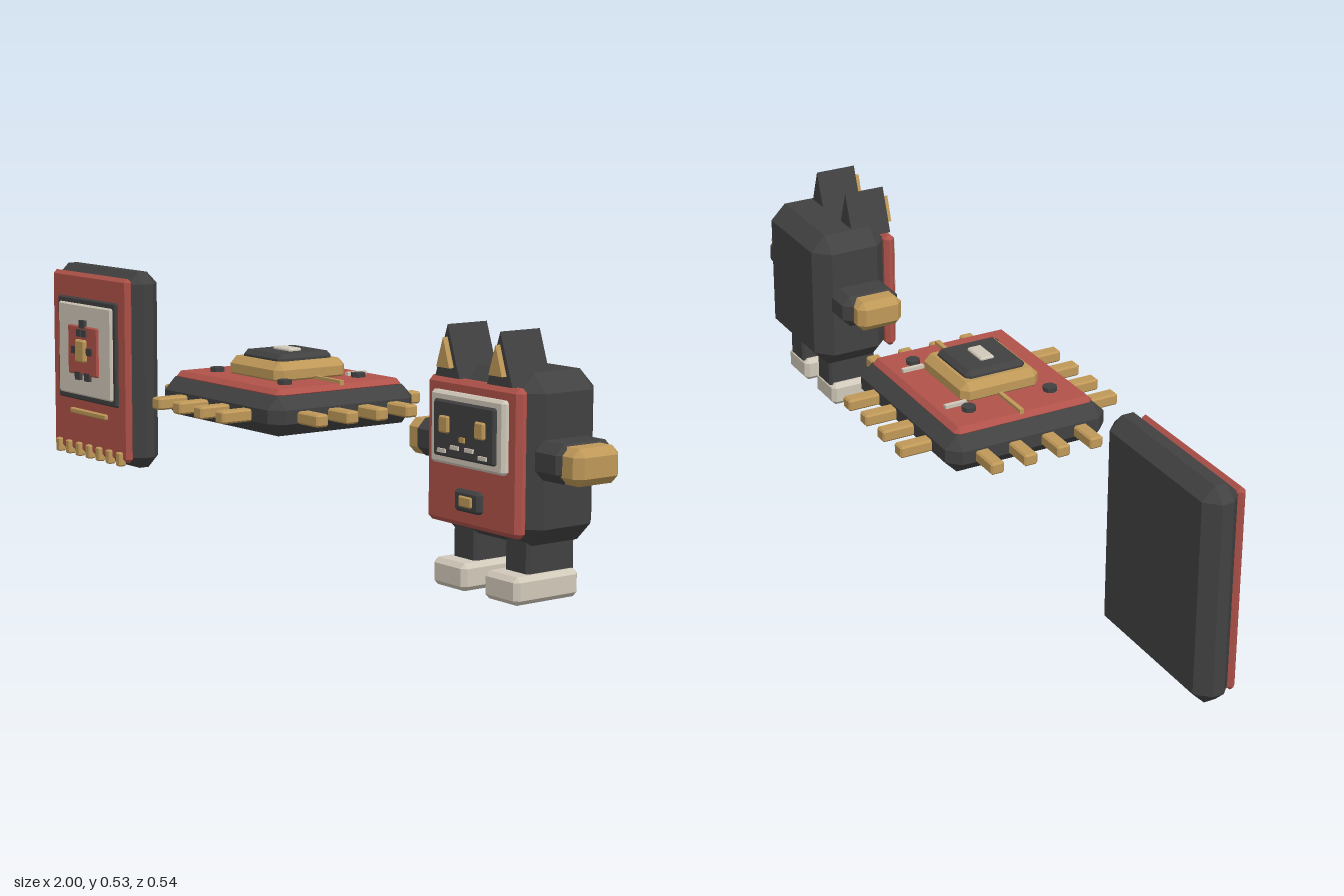
import * as THREE from 'three';
import { ConvexGeometry } from 'three/addons/geometries/ConvexGeometry.js';

const paint = (name, color) => {
  const m = new THREE.MeshStandardMaterial({ color });
  m.name = name;
  return m;
};

// box with every edge and corner cut at 45 degrees
function chamferBox(w, h, d, c) {
  const pts = [];
  for (const sx of [-1, 1]) for (const sy of [-1, 1]) for (const sz of [-1, 1]) {
    const x = w / 2, y = h / 2, z = d / 2;
    pts.push(
      new THREE.Vector3(sx * x, sy * (y - c), sz * (z - c)),
      new THREE.Vector3(sx * (x - c), sy * y, sz * (z - c)),
      new THREE.Vector3(sx * (x - c), sy * (y - c), sz * z));
  }
  return new ConvexGeometry(pts);
}

export function createModel() {
  const dark = paint('charcoal', 0x414141);
  const red = paint('brick red', 0xb0524a);
  const gold = paint('brass', 0xbf9858);
  const cream = paint('cream', 0xd0c8b9);

  const model = new THREE.Group();
  const group = (name, x, y, z) => {
    const g = new THREE.Group();
    g.name = name;
    g.position.set(x, y, z);
    model.add(g);
    return g;
  };
  const add = (parent, name, geo, mat) => {
    const m = new THREE.Mesh(geo, mat);
    m.name = name;
    parent.add(m);
    return m;
  };
  // part given by its min and max corners, with an optional chamfer
  const box = (parent, name, mat, [x0, x1], [y0, y1], [z0, z1], c = 0) => {
    const s = [x1 - x0, y1 - y0, z1 - z0];
    const m = add(parent, name, c ? chamferBox(...s, c) : new THREE.BoxGeometry(...s), mat);
    m.position.set((x0 + x1) / 2, (y0 + y1) / 2, (z0 + z1) / 2);
    return m;
  };
  const span = (centre, half) => [centre - half, centre + half];

  // ---- upright card ----
  const card = group('card', -0.808, 0.29, 0);
  box(card, 'cardBody', dark, span(0, 0.192), span(0, 0.24), [-0.045, 0.037], 0.028);
  box(card, 'cardFace', red, span(0, 0.177), span(0, 0.225), [0.03, 0.05], 0.009);
  box(card, 'windowFrame', dark, span(0, 0.138), span(0.036, 0.128), [0.045, 0.057], 0.004);
  box(card, 'windowPanel', cream, span(0, 0.124), span(0.036, 0.114), [0.05, 0.064], 0.004);
  box(card, 'emblemSquare', red, span(0, 0.069), span(0.036, 0.061), [0.06, 0.07], 0.003);
  box(card, 'emblemCore', gold, span(0, 0.022), span(0.036, 0.028), [0.066, 0.08], 0.004);
  for (const [x, y] of [[0, 0.102], [-0.022, -0.028], [0.022, -0.028]])
    box(card, 'emblemTab', dark, span(x, 0.012), span(y, 0.01), [0.06, 0.072]);
  for (const s of [-1, 1]) {
    box(card, 'emblemSideTab', dark, span(s * 0.036, 0.012), span(0.036, 0.009), [0.066, 0.074]);
    box(card, 'emblemTopTab', dark, span(s * 0.012, 0.01), span(0.08, 0.009), [0.066, 0.074]);
  }
  box(card, 'labelBar', gold, span(0, 0.085), span(-0.122, 0.007), [0.045, 0.058], 0.003);
  for (let i = -3; i <= 3; i++)
    box(card, 'edgeContact', gold, span(i * 0.048, 0.01), [-0.234, -0.2], [0.04, 0.06], 0.003);

  // ---- flat chip with pins ----
  const chip = group('chip', -0.035, 0, 0);
  box(chip, 'chipBody', dark, span(0, 0.228), [0.248, 0.334], span(0, 0.195), 0.028);
  box(chip, 'chipTop', red, span(0, 0.202), [0.324, 0.347], span(0, 0.169), 0.011);
  for (const s of [-1, 1]) for (const k of [-1.5, -0.5, 0.5, 1.5]) {
    box(chip, 'sidePin', gold, s > 0 ? [0.18, 0.297] : [-0.297, -0.18],
      [0.275, 0.302], span(k * 0.08, 0.016), 0.004);
    box(chip, 'endPin', gold, span(k * 0.083, 0.016), [0.275, 0.302],
      s > 0 ? [0.15, 0.269] : [-0.269, -0.15], 0.004);
  }
  box(chip, 'coreBase', gold, span(0, 0.099), [0.335, 0.387], span(0, 0.096), 0.016);
  box(chip, 'coreBlock', dark, span(0, 0.073), [0.37, 0.402], span(0, 0.073), 0.01);
  box(chip, 'coreLight', cream, span(0, 0.032), [0.395, 0.408], span(0, 0.017), 0.003);
  for (const s of [-1, 1]) {
    box(chip, 'sideTrace', gold, span(s * 0.145, 0.05), [0.342, 0.354], span(-0.006, 0.005));
    box(chip, 'backTrace', cream, span(s * 0.1, 0.005), [0.345, 0.355], [-0.142, -0.09]);
    for (const t of [-1, 1]) {
      const stud = add(chip, 'stud', new THREE.CylinderGeometry(0.016, 0.016, 0.02, 8).toNonIndexed(), dark);
      stud.geometry.computeVertexNormals();
      stud.position.set(s * 0.13, 0.347, t * 0.1);
    }
  }

  // ---- little cat-eared robot ----
  const robot = group('robot', 0.738, 0, 0);
  box(robot, 'robotBody', dark, span(0, 0.152), [0.112, 0.45], [-0.1, 0.093], 0.037);
  box(robot, 'robotFace', red, span(0, 0.14), [0.133, 0.425], [0.085, 0.113], 0.01);
  box(robot, 'screenFrame', cream, span(0, 0.111), [0.255, 0.4], [0.105, 0.127], 0.006);
  box(robot, 'screen', dark, span(0, 0.092), [0.272, 0.384], [0.115, 0.135], 0.004);
  box(robot, 'nose', gold, span(0, 0.007), span(0.312, 0.005), [0.13, 0.139]);
  box(robot, 'chestButton', dark, span(0, 0.038), [0.167, 0.211], [0.105, 0.126], 0.006);
  box(robot, 'chestLight', gold, span(0, 0.02), span(0.189, 0.011), [0.12, 0.13], 0.003);

  // triangular prism standing on its base
  const wedge = (half, height, depth) => {
    const s = new THREE.Shape([[-half, 0], [half, 0], [0, height]].map(p => new THREE.Vector2(...p)));
    return new THREE.ExtrudeGeometry(s, { depth, bevelEnabled: false });
  };
  for (const s of [-1, 1]) {
    box(robot, 'eye', gold, span(s * 0.054, 0.014), span(0.337, 0.017), [0.13, 0.142], 0.003);
    box(robot, 'mouthInner', cream, span(s * 0.022, 0.012), span(0.294, 0.004), [0.13, 0.139]);
    box(robot, 'mouthOuter', cream, span(s * 0.062, 0.012), span(0.284, 0.004), [0.13, 0.139]);
    const ear = add(robot, 'ear', wedge(0.037, 0.105, 0.1), dark);
    ear.position.set(s * 0.079, 0.425, 0.01);
    const inner = add(robot, 'innerEar', wedge(0.02, 0.06, 0.014), gold);
    inner.position.set(s * 0.079, 0.445, 0.108);
    const side = (a, b) => s > 0 ? [a, b] : [-b, -a];
    box(robot, 'arm', dark, side(0.13, 0.228), [0.247, 0.324], [-0.066, 0.08], 0.02);
    box(robot, 'hand', gold, side(0.19, 0.262), [0.247, 0.32], [-0.045, 0.071], 0.016);
    box(robot, 'leg', dark, span(s * 0.079, 0.035), [0.045, 0.13], [-0.06, 0.063], 0.006);
    box(robot, 'foot', cream, span(s * 0.079, 0.051), [0, 0.056], [-0.06, 0.105], 0.01);
  }
  return model;
}
